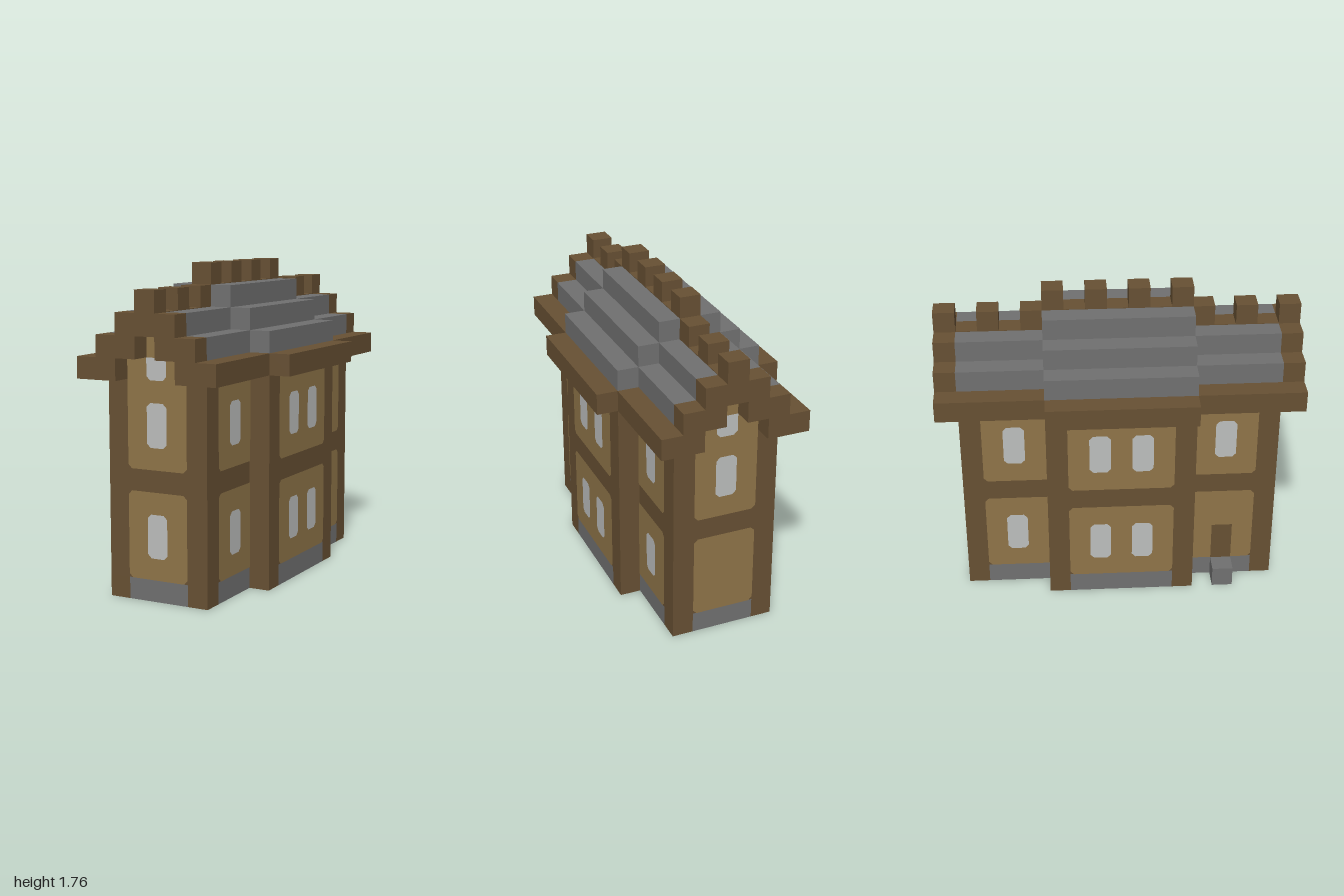
import * as THREE from 'three';

const U = 2 / 17; // one building block
const timber = new THREE.MeshStandardMaterial({ color: 0x675033 });
const plaster = new THREE.MeshStandardMaterial({ color: 0x8f7448 });
const stone = new THREE.MeshStandardMaterial({ color: 0x707070 });
const glass = new THREE.MeshStandardMaterial({ color: 0xbcbebd });
timber.name = 'timber brown';
plaster.name = 'plaster tan';
stone.name = 'stone grey';
glass.name = 'window pale grey';

function add(parent, name, geometry, material) {
  const mesh = new THREE.Mesh(geometry, material);
  mesh.name = name;
  parent.add(mesh);
  return mesh;
}

// Box given by its ranges, in blocks
function block(parent, name, material, [x0, x1], [y0, y1], [z0, z1]) {
  const mesh = add(parent, name, new THREE.BoxGeometry((x1 - x0) * U, (y1 - y0) * U, (z1 - z0) * U), material);
  mesh.position.set((x0 + x1) / 2 * U, (y0 + y1) / 2 * U, (z0 + z1) / 2 * U);
}

function shapeOf(points) {
  return new THREE.Shape(points.map(([a, b]) => new THREE.Vector2(a * U, b * U)));
}

// Upright slab whose floor plan is one quarter outline mirrored in x and z
function slab(parent, name, material, y0, y1, quarter) {
  const back = [...quarter].reverse();
  const plan = [
    ...quarter,
    ...back.map(([x, z]) => [x, -z]),
    ...quarter.map(([x, z]) => [-x, -z]),
    ...back.map(([x, z]) => [-x, z]),
  ];
  const geometry = new THREE.ExtrudeGeometry(shapeOf(plan), { depth: (y1 - y0) * U, bevelEnabled: false });
  geometry.rotateX(-Math.PI / 2);
  add(parent, name, geometry, material).position.y = y0 * U;
}

// Thin face on a wall; cuts: b/t = bottom/top, l/r = left/right corners clipped
function plate(wall, name, material, [x0, x1], [y0, y1], depth, lift, cuts) {
  const c = (key) => (cuts.includes(key) ? 0.18 : 0);
  const points = [
    [x0 + c('bl'), y0], [x1 - c('br'), y0], [x1, y0 + c('br')], [x1, y1 - c('tr')],
    [x1 - c('tr'), y1], [x0 + c('tl'), y1], [x0, y1 - c('tl')], [x0, y0 + c('bl')],
  ].filter((p, i, all) => !i || p[0] !== all[i - 1][0] || p[1] !== all[i - 1][1]);
  add(wall, name, new THREE.ShapeGeometry(shapeOf(points)), material).position.z = depth * U + lift;
}

const ALL = ['bl', 'br', 'tl', 'tr'];
const STOREYS = [
  { y: [1, 5], window: [2, 4], edges: ['b', 't'] },
  { y: [6, 10], window: [7, 9], edges: ['b'] },
];
const panel = (wall, x, y, depth, cuts) => plate(wall, 'plasterPanel', plaster, x, y, depth, 0.003, cuts);
const windowPane = (wall, x, y, depth, cuts = ALL) => plate(wall, 'window', glass, x, y, depth, 0.006, cuts);

// Gable end: narrow wall with a peaked upper panel under the stepped arch
function endWall(isFront) {
  const wall = new THREE.Group();
  wall.name = isFront ? 'frontWall' : 'backWall';
  panel(wall, [-1.5, 1.5], [1, 5], 7.5, ALL);
  panel(wall, [-1.5, 1.5], [6, 11], 7.5, ['bl', 'br']);
  panel(wall, [-0.5, 0.5], [11, 12], 7.5, []);
  if (isFront) windowPane(wall, [-0.5, 0.5], [2, 4], 7.5);
  windowPane(wall, [-0.5, 0.5], [7, 9], 7.5);
  windowPane(wall, [-0.5, 0.5], [10, 11], 7.5, ['bl', 'br']);

  // Stepped gable with its arch
  const right = [[1.5, 10], [3.5, 10], [3.5, 11], [2.5, 11], [2.5, 12], [1.5, 12], [1.5, 13], [0.5, 13], [0.5, 14]];
  const arch = [[0.5, 12], [0.5, 11], [1.5, 11]];
  const flip = (list) => [...list].reverse().map(([x, y]) => [-x, y]);
  const outline = [...arch, ...right, ...flip(right), ...flip(arch)];
  const geometry = new THREE.ExtrudeGeometry(shapeOf(outline), { depth: U, bevelEnabled: false });
  add(wall, 'gable', geometry, timber).position.z = 7.5 * U;
  if (!isFront) wall.rotation.y = Math.PI;
  return wall;
}

// Long side: projecting middle bay between two wings
function sideWall(hasDoor) {
  const wall = new THREE.Group();
  wall.name = hasDoor ? 'doorSideWall' : 'plainSideWall';
  for (const { y, window, edges } of STOREYS) {
    panel(wall, [-2.5, 2.5], y, 3.5, edges.flatMap((e) => [e + 'l', e + 'r']));
    for (const s of [-1, 1]) {
      const span = (a, b) => (s > 0 ? [a, b] : [-b, -a]);
      panel(wall, span(3.5, 6.5), y, 2.5, edges.map((e) => e + (s > 0 ? 'r' : 'l')));
      windowPane(wall, span(0.5, 1.5), window, 3.5);
      if (hasDoor && s > 0 && y[0] === 1) plate(wall, 'door', timber, span(4.5, 5.5), [1, 3], 2.5, 0.006, []);
      else windowPane(wall, span(4.5, 5.5), window, 2.5);
    }
  }
  wall.rotation.y = hasDoor ? -Math.PI / 2 : Math.PI / 2;
  return wall;
}

export function createModel() {
  const house = new THREE.Group();
  house.name = 'house';

  // Stone base with timber corner posts, then the timber walls
  slab(house, 'foundation', stone, 0, 1, [[1.5, 7.5], [1.5, 6.5], [2.5, 6.5], [2.5, 2.5], [3.5, 2.5]]);
  slab(house, 'walls', timber, 1, 10, [[2.5, 7.5], [2.5, 3.5], [3.5, 3.5]]);
  for (const sx of [-1, 1]) {
    for (const sz of [-1, 1]) {
      for (const [x, z] of [[2, 7], [3, 3]]) {
        block(house, 'cornerPost', timber, [sx * x - 0.5, sx * x + 0.5], [0, 1], [sz * z - 0.5, sz * z + 0.5]);
      }
    }
  }
  block(house, 'doorstep', stone, [-3.5, -2.5], [0, 1], [4.5, 5.5]);
  house.add(endWall(true), endWall(false), sideWall(true), sideWall(false));

  // Eaves and stepped roof
  slab(house, 'eaves', timber, 10, 11, [[3.5, 7.5], [3.5, 3.5], [4.5, 3.5]]);
  for (const i of [0, 1]) {
    slab(house, 'roofStep', stone, 11 + i, 12 + i, [[2.5 - i, 7.5], [2.5 - i, 3.5], [3.5 - i, 3.5]]);
  }
  block(house, 'roofTop', stone, [-1.5, 1.5], [13, 14], [-3.5, 3.5]);

  // Ridge strip and crenellations
  block(house, 'middleRidge', timber, [-0.5, 0.5], [13.98, 14.03], [-3.5, 3.5]);
  for (const s of [-1, 1]) {
    block(house, 'wingRidge', timber, [-0.5, 0.5], [12.98, 13.03], s > 0 ? [3.5, 7.5] : [-7.5, -3.5]);
    for (const [z, y] of [[1, 14], [3, 14], [4, 13], [6, 13]]) {
      block(house, 'ridgeBlock', timber, [-0.5, 0.5], [y, y + 1], [s * z - 0.5, s * z + 0.5]);
    }
  }
  return house;
}
